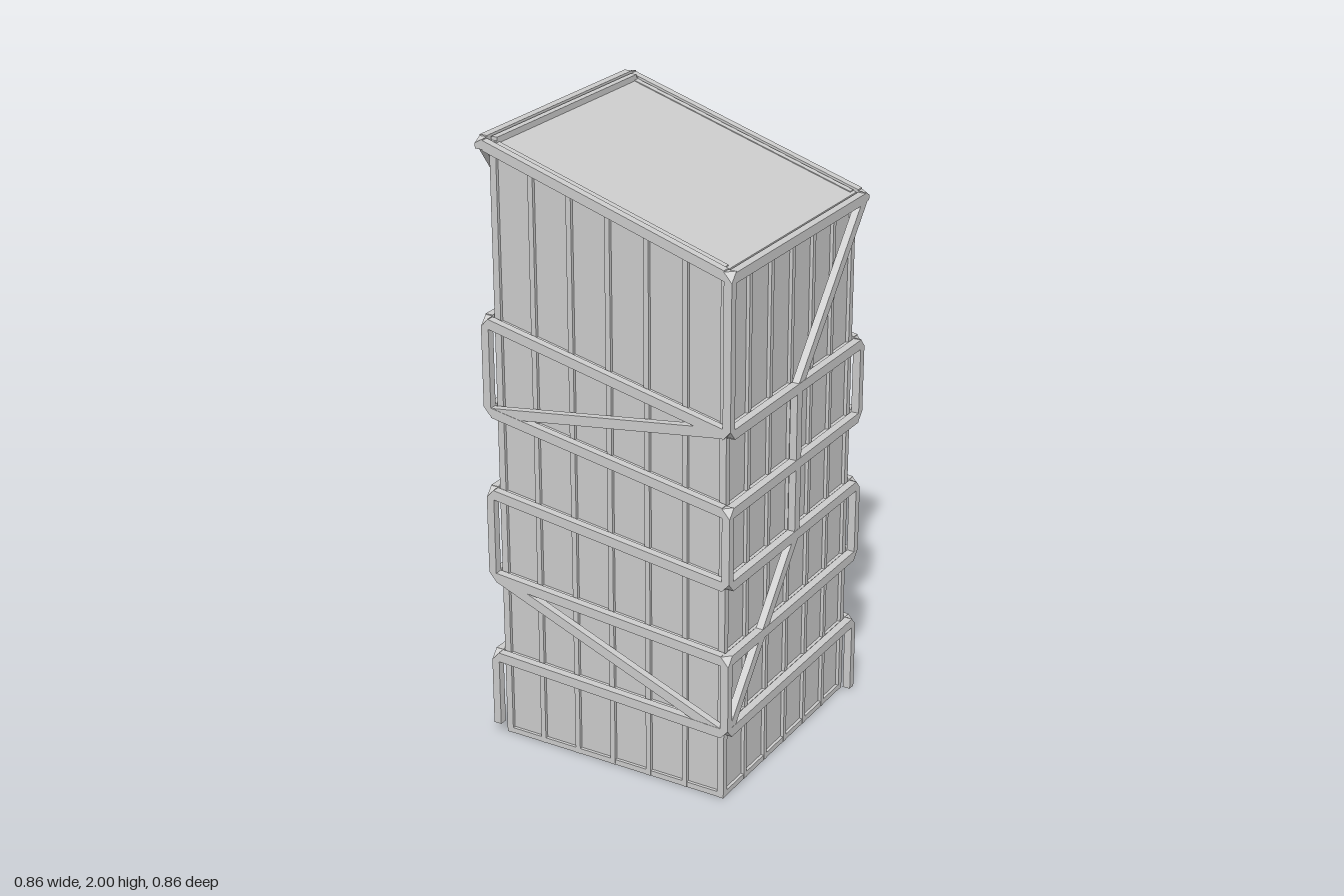
import * as THREE from 'three';

// Ring heights at the tall (-x) and short (+x) sides, from roof to base
const HIGH = [1.984, 1.425, 1.135, 0.857, 0.57, 0.285];
const LOW = [1.716, 1.235, 0.985, 0.745, 0.495, 0.247];
const CORE = 0.4, IN = 0.404, OUT = 0.43, BAR = 0.032;

const level = (i, x) => THREE.MathUtils.lerp(HIGH[i], LOW[i], (x + OUT) / (2 * OUT));

export function createModel() {
  const model = new THREE.Group();
  const mat = new THREE.MeshStandardMaterial({ color: 0xcccccc, flatShading: true });
  const panelMat = new THREE.MeshStandardMaterial({ color: 0xcccccc, side: THREE.DoubleSide });

  function add(parent, name, geometry, material = mat) {
    const mesh = new THREE.Mesh(geometry, material);
    mesh.name = name;
    parent.add(mesh);
    return mesh;
  }

  // Polygon in the plane of a face, extruded from depth z0 to z1
  function slab(parent, name, points, z0, z1) {
    const shape = new THREE.Shape(points.map(([x, y]) => new THREE.Vector2(x, y)));
    const geo = new THREE.ExtrudeGeometry(shape, { depth: z1 - z0, bevelEnabled: false });
    return add(parent, name, geo.translate(0, 0, z0));
  }

  // Bar with vertical ends, following a slope
  function beam(parent, name, u0, y0, u1, y1, h, z0, z1) {
    slab(parent, name, [[u0, y0 - h], [u1, y1 - h], [u1, y1 + h], [u0, y0 + h]], z0, z1);
  }

  // Square-ended bar between two points of a face
  function brace(parent, u0, y0, u1, y1) {
    const geo = new THREE.BoxGeometry(Math.hypot(u1 - u0, y1 - y0), BAR, OUT - IN - 0.002);
    const mesh = add(parent, 'brace', geo);
    mesh.position.set((u0 + u1) / 2, (y0 + y1) / 2, (IN + OUT) / 2);
    mesh.rotation.z = Math.atan2(y1 - y0, u1 - u0);
  }

  // Four faces: front, +x side, back, -x side
  ['front', 'leftSide', 'back', 'rightSide'].forEach((name, f) => {
    const face = new THREE.Group();
    face.name = name + 'Face';
    face.rotation.y = f * Math.PI / 2;
    model.add(face);
    const xAt = u => [u, OUT, -u, -OUT][f];
    const y = (i, u) => level(i, xAt(u));

    // Wall panel
    const wall = new THREE.Shape([
      new THREE.Vector2(-0.39, 0), new THREE.Vector2(0.39, 0),
      new THREE.Vector2(0.39, y(0, 0.39)), new THREE.Vector2(-0.39, y(0, -0.39))]);
    add(face, 'wallPanel', new THREE.ShapeGeometry(wall).translate(0, 0, 0.389), panelMat);

    // Mullions
    for (let i = -3; i <= 3; i++) {
      const u = i * 0.1305, w = 0.0085;
      slab(face, 'mullion', [[u - w, 0], [u + w, 0], [u + w, y(0, u + w)], [u - w, y(0, u - w)]], 0.378, CORE);
    }

    // Base rail, floor rails and the outer ring beams
    beam(face, 'baseRail', -CORE, 0.009, CORE, 0.009, 0.009, 0.378, CORE - 0.001);
    for (let i = 0; i < 6; i++) {
      beam(face, 'floorRail', -0.39, y(i, -0.39), 0.39, y(i, 0.39), 0.011, 0.378, CORE - 0.001);
      beam(face, 'ringBeam', -IN, y(i, -IN), IN, y(i, IN), BAR / 2, IN, OUT);
    }

    // Zigzag braces
    if (f % 2 === 0) {
      brace(face, 0.4, y(1, 0.4), -0.4, y(2, -0.4));
      brace(face, -0.4, y(4, -0.4), 0.4, y(5, 0.4));
    } else {
      brace(face, 0.41, y(0, 0), 0, y(1, 0));
      brace(face, 0, y(1, 0), 0, y(3, 0));
      brace(face, 0, y(3, 0), -0.41, y(5, 0));
    }
  });

  // Corner posts link alternate rings, with their outer tips cut back
  function post(sx, sz, yTop, yBottom, cutTop, cutBottom) {
    const h = yTop - yBottom, w = OUT - IN;
    const geo = new THREE.BoxGeometry(w, h, w);
    const pos = geo.attributes.position;
    for (let i = 0; i < pos.count; i++) {
      if (pos.getX(i) * sx > 0 && pos.getZ(i) * sz > 0) {
        const up = pos.getY(i) > 0;
        if (up && cutTop) pos.setY(i, h / 2 - cutTop);
        if (!up && cutBottom) pos.setY(i, -h / 2 + cutBottom);
      }
    }
    geo.computeVertexNormals();
    const c = (IN + OUT) / 2;
    add(model, 'cornerPost', geo).position.set(sx * c, (yTop + yBottom) / 2, sz * c);
  }

  for (const sx of [-1, 1]) for (const sz of [-1, 1]) {
    const at = i => level(i, sx * 0.417);
    if (sx * sz > 0) {
      for (const i of [0, 2, 4]) post(sx, sz, at(i) + BAR / 2, at(i + 1) - BAR / 2, 0.03, 0.03);
    } else {
      post(sx, sz, at(0) + BAR / 2, at(0) - BAR / 2, 0.015, 0);
      for (const i of [1, 3]) post(sx, sz, at(i) + BAR / 2, at(i + 1) - BAR / 2, 0.03, 0.03);
      post(sx, sz, at(5) + BAR / 2, sx < 0 ? 0.04 : 0, 0.03, 0);
    }
  }

  // Sloping roof
  const r = x => level(0, x);
  slab(model, 'roof', [[-CORE, r(-CORE) - 0.012], [CORE, r(CORE) - 0.012],
    [CORE, r(CORE) + 0.008], [-CORE, r(-CORE) + 0.008]], -CORE, CORE);

  return model;
}
